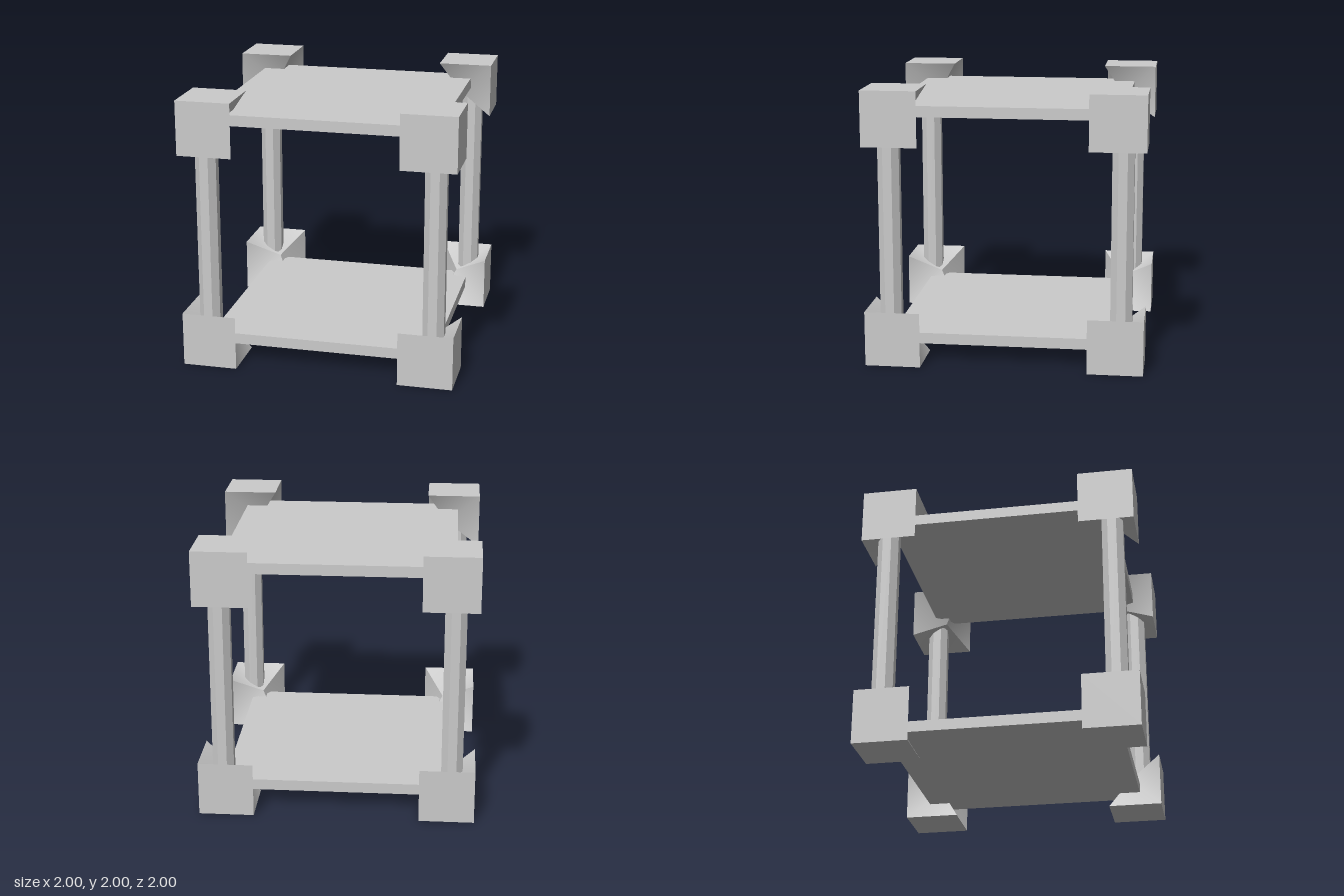
import * as THREE from 'three';

const material = new THREE.MeshStandardMaterial({ color: 0xcccccc });
const flatMaterial = new THREE.MeshStandardMaterial({ color: 0xcccccc, flatShading: true });

// Corner cube whose innermost vertex is pushed in towards its middle
function cornerBlock(sx, sy, sz) {
  const g = new THREE.BoxGeometry(0.4, 0.4, 0.4);
  const p = g.attributes.position;
  const index = [];
  for (let face = 0; face < 6; face++) {
    const loop = [0, 2, 3, 1].map((i) => face * 4 + i);
    let k = 0;
    loop.forEach((v, i) => {
      if (p.getX(v) * sx < 0 && p.getY(v) * sy < 0 && p.getZ(v) * sz < 0) {
        p.setXYZ(v, -0.05 * sx, -0.05 * sy, -0.05 * sz);
        k = i;
      }
    });
    // Split each face along the diagonal through the pushed vertex
    const at = (i) => loop[(k + i) % 4];
    index.push(at(0), at(1), at(2), at(0), at(2), at(3));
  }
  g.setIndex(index);
  g.computeVertexNormals();
  const mesh = new THREE.Mesh(g, material);
  mesh.position.set(0.8 * sx, 1 + 0.8 * sy, 0.8 * sz);
  mesh.name = 'cornerBlock';
  return mesh;
}

export function createModel() {
  const group = new THREE.Group();
  group.name = 'twoTierFrame';

  // Eight-sided posts, flats facing the sides
  const postGeometry = new THREE.CylinderGeometry(0.084, 0.084, 1.666, 8).rotateY(Math.PI / 8);
  const plateGeometry = new THREE.BoxGeometry(1.666, 0.08, 1.666);

  for (const sy of [-1, 1]) {
    // Lower and upper plates
    const plate = new THREE.Mesh(plateGeometry, material);
    plate.position.y = 1 + 0.833 * sy;
    plate.name = sy < 0 ? 'lowerPlate' : 'upperPlate';
    group.add(plate);
    for (const sx of [-1, 1])
      for (const sz of [-1, 1]) group.add(cornerBlock(sx, sy, sz));
  }

  for (const sx of [-1, 1])
    for (const sz of [-1, 1]) {
      const post = new THREE.Mesh(postGeometry, flatMaterial);
      post.position.set(0.833 * sx, 1, 0.833 * sz);
      post.name = 'post';
      group.add(post);
    }
  return group;
}
